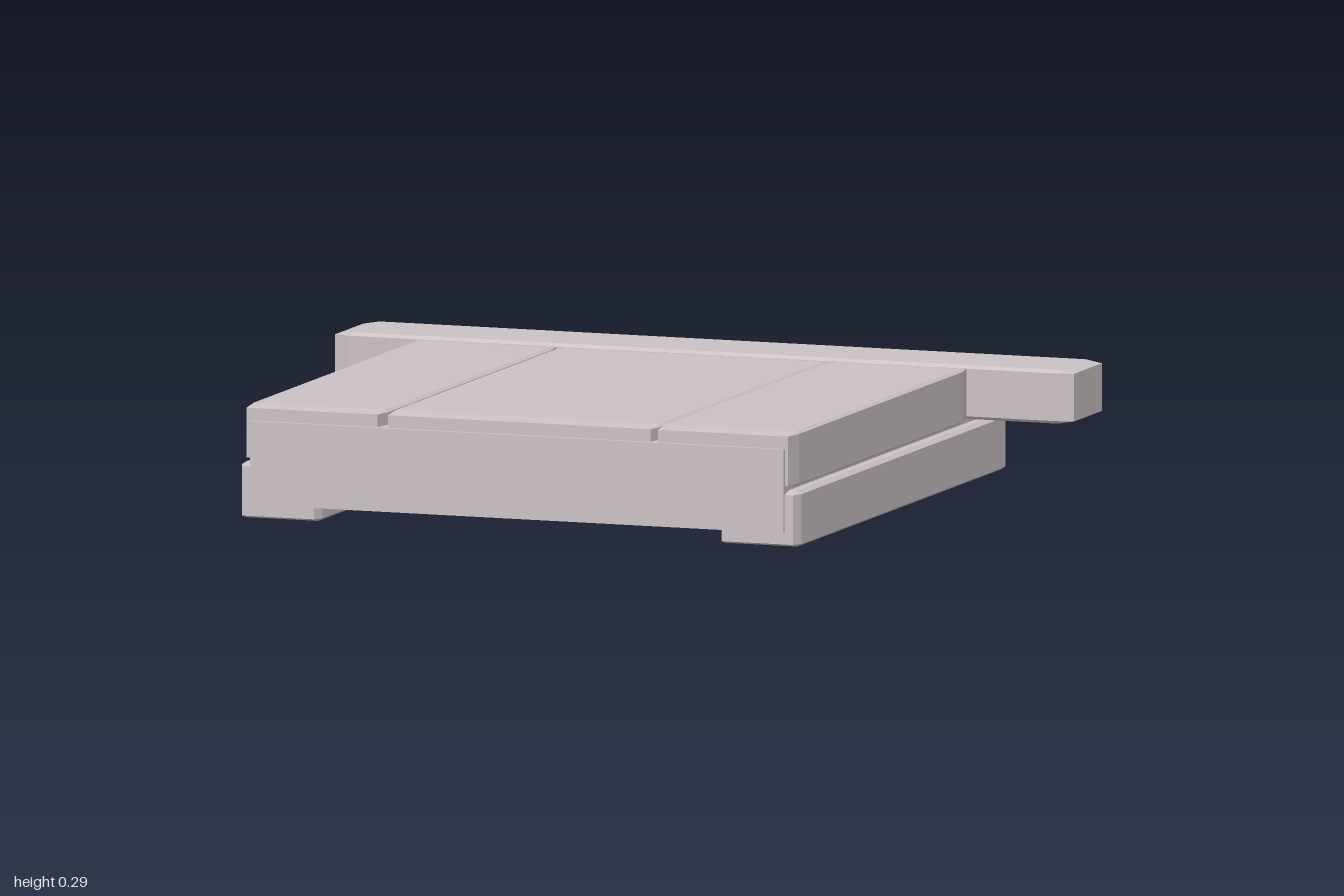
import * as THREE from 'three';
import { ConvexGeometry } from 'three/addons/geometries/ConvexGeometry.js';

export function createModel() {
  const model = new THREE.Group();
  const wood = new THREE.MeshStandardMaterial({ color: 0xcbc1c5, flatShading: true });

  // Adds a box between two corners, with its edges cut back by c = [cx, cy, cz]
  function beam(name, min, max, c) {
    const size = max.map((v, i) => v - min[i]);
    const h = size.map((v) => v / 2);
    let geometry;
    if (c) {
      const points = [];
      for (const sx of [-1, 1]) for (const sy of [-1, 1]) for (const sz of [-1, 1]) {
        for (let axis = 0; axis < 3; axis++) {
          const p = h.map((v, i) => (i === axis ? v : v - c[i]));
          points.push(new THREE.Vector3(sx * p[0], sy * p[1], sz * p[2]));
        }
      }
      geometry = new ConvexGeometry(points);
    } else {
      geometry = new THREE.BoxGeometry(...size);
    }
    const mesh = new THREE.Mesh(geometry, wood);
    mesh.name = name;
    mesh.position.set(...min.map((v, i) => v + h[i]));
    model.add(mesh);
  }

  // Plain slab through the middle
  beam('core', [-0.732, 0.038, -0.775], [0.712, 0.252, 0.77]);

  // Runners under both sides
  [['rightRunner', -0.768, -0.55], ['leftRunner', 0.53, 0.747]].forEach(([name, x0, x1]) =>
    beam(name, [x0, 0, -0.765], [x1, 0.143, 0.762], [0.012, 0.008, 0.03]));

  // Three deck planks separated by narrow gaps
  [['rightPlank', -0.755, -0.382], ['middlePlank', -0.372, 0.357], ['leftPlank', 0.359, 0.729]]
    .forEach(([name, x0, x1]) =>
      beam(name, [x0, 0.151, -0.528], [x1, 0.29, 0.758], [0.009, 0.006, 0.055]));

  // Wide cross beam along the back
  beam('backBeam', [-1, 0.152, -0.77], [1, 0.29, -0.545], [0.045, 0.008, 0.012]);

  return model;
}
